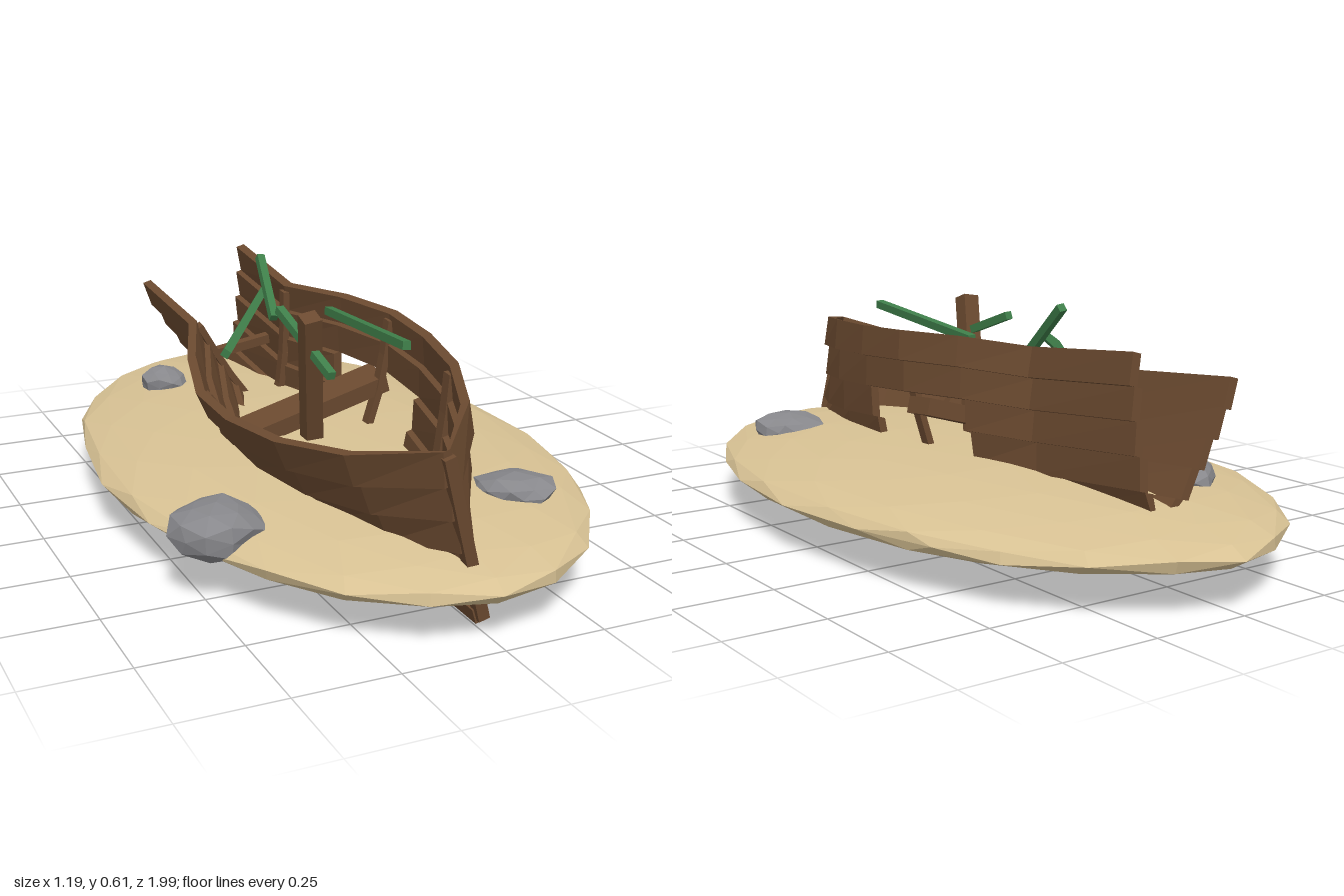
import * as THREE from 'three';
import { mergeGeometries } from 'three/addons/utils/BufferGeometryUtils.js';

const V = (x, y, z) => new THREE.Vector3(x, y, z);

function material(name, color) {
  const m = new THREE.MeshStandardMaterial({ color, flatShading: true });
  m.name = name;
  return m;
}

function mesh(name, geometry, mat) {
  const m = new THREE.Mesh(geometry, mat);
  m.name = name;
  return m;
}

// repeatable value in -1..1 for a point, so shared corners move together
function noise(p, seed) {
  const q = [p.x, p.y, p.z].map((n) => Math.round(n * 100));
  const s = Math.sin(q[0] * 12.9898 + q[1] * 78.233 + q[2] * 37.719 + seed * 9.17) * 43758.5453;
  return (s - Math.floor(s)) * 2 - 1;
}

// faceted lump: an icosphere roughened by the noise
function lump(detail, rough, seed) {
  const g = new THREE.IcosahedronGeometry(1, detail);
  const pos = g.attributes.position;
  const p = V(0, 0, 0);
  for (let i = 0; i < pos.count; i++) {
    p.fromBufferAttribute(pos, i);
    p.multiplyScalar(1 + rough * noise(p, seed));
    pos.setXYZ(i, p.x, p.y, p.z);
  }
  return g;
}

// square beam between two points
function beam(a, b, width, depth = width) {
  const dir = b.clone().sub(a);
  const g = new THREE.BoxGeometry(width, dir.length(), depth);
  g.applyQuaternion(new THREE.Quaternion().setFromUnitVectors(V(0, 1, 0), dir.normalize()));
  return g.translate((a.x + b.x) / 2, (a.y + b.y) / 2, (a.z + b.z) / 2);
}

// hull stations from bow to stern: z, half beam, gunwale height, keel height, section curve
const stations = [
  [0.87, 0.014, 0.465, 0.035, 0.6],
  [0.68, 0.165, 0.437, 0.012, 0.6],
  [0.47, 0.25, 0.414, 0, 0.5],
  [0.25, 0.29, 0.394, 0, 0.45],
  [0.05, 0.295, 0.385, 0, 0.45],
  [-0.15, 0.245, 0.385, 0, 0.5],
  [-0.36, 0.165, 0.38, 0, 0.55],
  [-0.745, 0.172, 0.38, 0, 0.6],
];
const ROWS = 5;

// point on the hull skin at station s, height t in 0..1, pushed outward by out
function skin(s, t, side, out = 0) {
  const [z, w, top, keel, e] = stations[s];
  return V(side * Math.max(0, w * Math.pow(t, e) + out), keel + (top - keel) * t, z);
}

// one lapped plank: its lower edge stands proud of the row below
function plank(s, row, side) {
  const g = new THREE.BoxGeometry(1, 1, 1);
  const pos = g.attributes.position;
  for (let i = 0; i < pos.count; i++) {
    const outer = pos.getX(i) * side > 0;
    const upper = pos.getY(i) > 0;
    const station = pos.getZ(i) > 0 ? s : s + 1;
    const out = (upper ? -0.006 : 0.01) - (outer ? 0 : 0.024);
    const p = skin(station, (row + (upper ? 1 : 0)) / ROWS, side, out);
    pos.setXYZ(i, p.x, p.y, p.z);
  }
  g.computeVertexNormals();
  return g;
}

export function createModel() {
  const sand = material('sand', 0xd8c294);
  const wood = material('old wood', 0x6b4a30);
  const green = material('mossy green', 0x3f7f4a);
  const stone = material('stone', 0x88888c);
  const model = new THREE.Group();
  model.name = 'wreckedBoat';

  // sand bank
  const bank = mesh('sandBank', lump(3, 0.012, 1), sand);
  bank.scale.set(0.587, 0.092, 0.995);
  bank.position.y = 0.115;
  model.add(bank);

  // rocks: position, radii
  const rocks = [
    [-0.46, 0.155, 0.475, 0.115, 0.066, 0.11],
    [0.265, 0.175, 0.58, 0.098, 0.043, 0.1],
    [-0.235, 0.185, -0.56, 0.07, 0.045, 0.075],
  ];
  rocks.forEach(([x, y, z, rx, ry, rz], i) => {
    const rock = mesh('rock' + (i + 1), lump(1, 0.13, i + 3), stone);
    rock.position.set(x, y, z);
    rock.scale.set(rx, ry, rz);
    rock.rotation.y = i * 1.3;
    model.add(rock);
  });

  // hull, heeled over and down by the bow
  const hull = new THREE.Group();
  hull.name = 'hull';
  hull.position.set(0.022, 0.065, 0);
  hull.rotation.set(0.09, 0, 0.28);
  model.add(hull);

  for (const side of [1, -1]) {
    const planks = [];
    for (let s = 0; s < stations.length - 1; s++) {
      for (let row = 0; row < ROWS; row++) {
        // hole stove in the left side
        const hole = side > 0 && (s === 3 || s === 4) && (row === 1 || row === 2);
        if (!hole) planks.push(plank(s, row, side));
      }
    }
    hull.add(mesh(side > 0 ? 'leftPlanks' : 'rightPlanks', mergeGeometries(planks), wood));

    // ribs following the inside of the planking
    const ribs = [];
    for (const s of [2, 4, 6]) {
      for (let k = 0; k < 4; k++) {
        const a = skin(s, 0.04 + k * 0.23, side, -0.028);
        const b = skin(s, 0.04 + (k + 1) * 0.23, side, -0.028);
        ribs.push(beam(a, b, 0.018, 0.03));
      }
    }
    hull.add(mesh(side > 0 ? 'leftRibs' : 'rightRibs', mergeGeometries(ribs), wood));
  }

  // keel and stem
  const spine = [];
  for (let s = 0; s < stations.length - 1; s++) {
    spine.push(beam(skin(s, 0, 1), skin(s + 1, 0, 1), 0.036, 0.036));
  }
  hull.add(mesh('keel', mergeGeometries(spine), wood));
  hull.add(mesh('stem', beam(V(0, 0.025, 0.868), V(0, 0.45, 0.868), 0.028, 0.03), wood));

  // seat plank and the rear cross strut
  const seat = mesh('seat', new THREE.BoxGeometry(0.45, 0.045, 0.1), wood);
  seat.position.set(-0.01, 0.2, 0.01);
  hull.add(seat);
  hull.add(mesh('crossStrut', beam(V(-0.13, 0.27, -0.36), V(0.05, 0.25, -0.36), 0.025), wood));

  // broken mast stump
  model.add(mesh('mastStump', beam(V(-0.055, 0.17, 0.1), V(-0.122, 0.56, 0.24), 0.046), wood));

  // loose green poles
  const poles = [
    [V(-0.295, 0.455, 0.115), V(-0.02, 0.495, -0.31)],
    [V(-0.06, 0.46, -0.14), V(-0.03, 0.592, -0.31)],
    [V(0.03, 0.528, 0.46), V(0.06, 0.49, -0.05)],
    [V(-0.115, 0.53, 0.03), V(-0.1, 0.43, 0.32)],
  ];
  poles.forEach(([a, b], i) => model.add(mesh('pole' + (i + 1), beam(a, b, 0.021), green)));

  return model;
}
